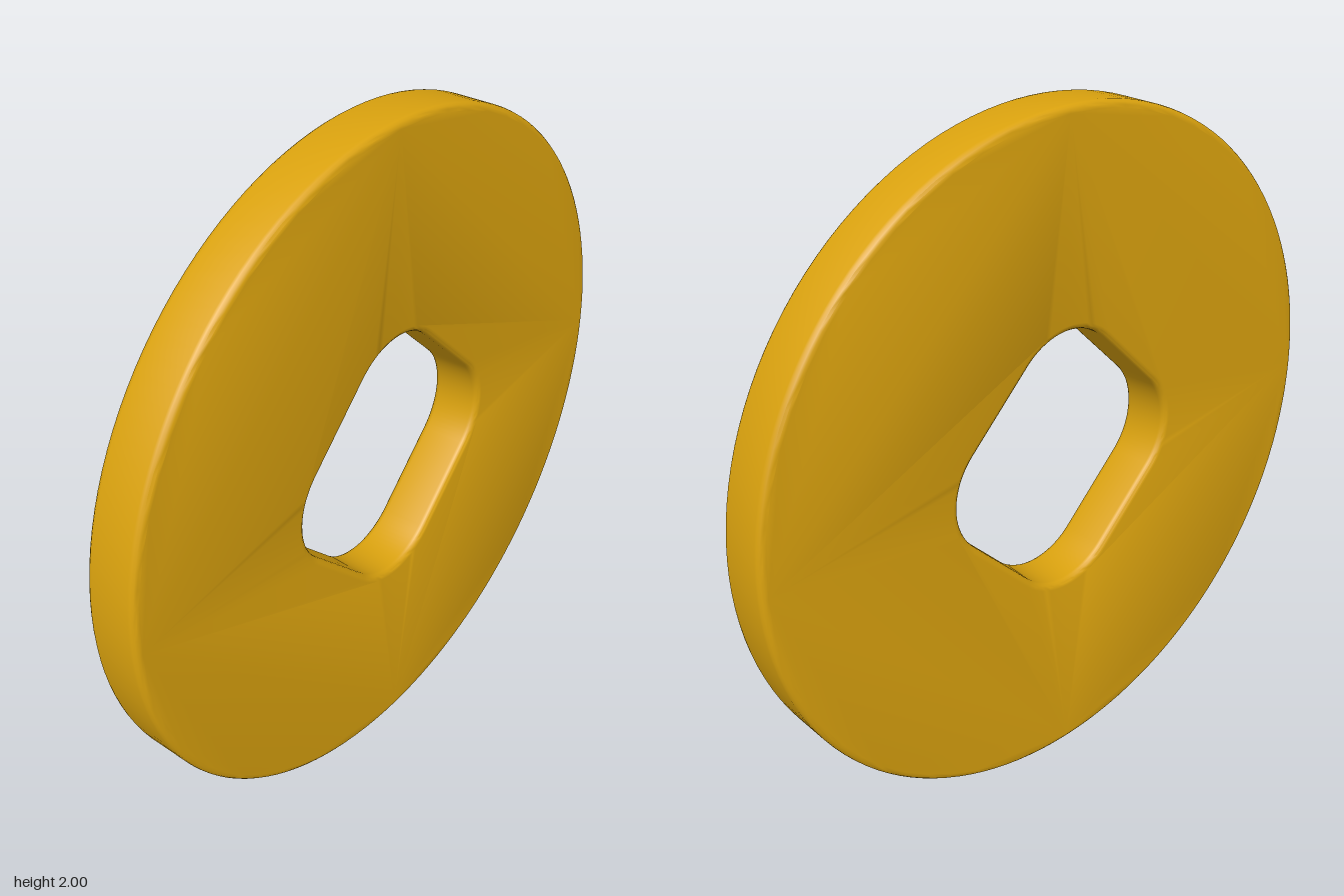
import * as THREE from 'three';
import { toCreasedNormals } from 'three/addons/utils/BufferGeometryUtils.js';

const RADIUS = 1, THICKNESS = 0.16, BEVEL = 0.02;
const HOLE_TIP = 0.395, CORNER_RADIUS = 0.2;

// Diamond hole: four rounded corners joined by straight diagonal edges
function diamondHole() {
  const hole = new THREE.Path();
  const offset = HOLE_TIP - CORNER_RADIUS;
  for (let i = 0; i < 4; i++) {
    const a = i * Math.PI / 2;
    hole.absarc(Math.cos(a) * offset, Math.sin(a) * offset, CORNER_RADIUS, a - Math.PI / 4, a + Math.PI / 4);
  }
  return new THREE.Path([...hole.getPoints(10)]);
}

export function createModel() {
  const group = new THREE.Group();
  group.name = 'coin';

  // Round disc with the hole cut through and softly rounded rims
  const disc = new THREE.Shape();
  disc.absarc(0, 0, RADIUS, 0, Math.PI * 2);
  disc.holes.push(diamondHole());

  const geometry = new THREE.ExtrudeGeometry(disc, {
    depth: THICKNESS - 2 * BEVEL,
    curveSegments: 64,
    bevelEnabled: true,
    bevelThickness: BEVEL,
    bevelSize: BEVEL,
    bevelOffset: -BEVEL,
    bevelSegments: 4,
  });
  geometry.translate(0, RADIUS, -THICKNESS / 2 + BEVEL);

  const body = new THREE.Mesh(
    toCreasedNormals(geometry, 0.6),
    new THREE.MeshStandardMaterial({ color: 0xdaa20e })
  );
  body.name = 'coinDisc';
  group.add(body);
  return group;
}
